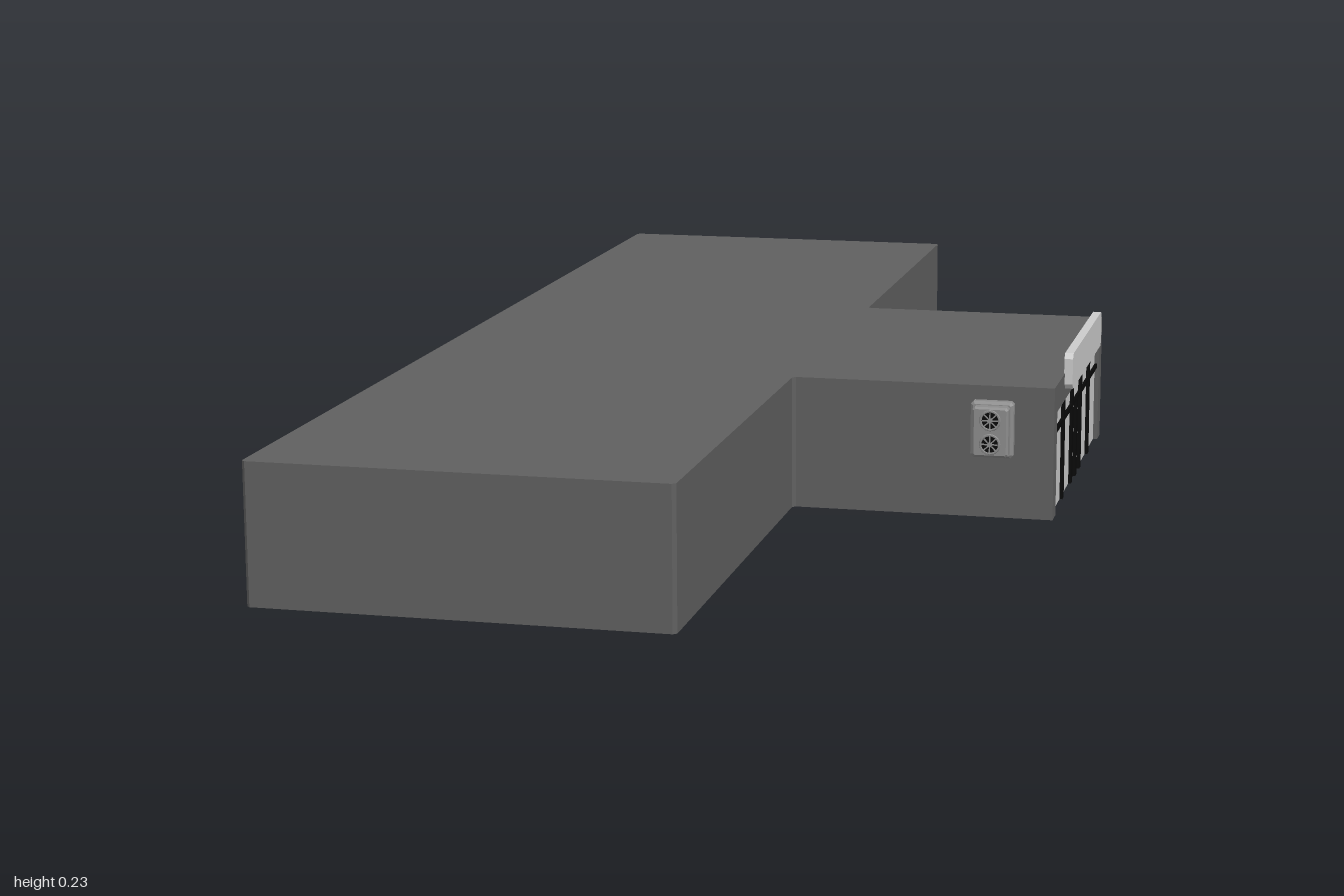
import * as THREE from 'three';

const mat = (color) => new THREE.MeshStandardMaterial({ color, flatShading: true });
const wall = mat(0x606060), light = mat(0xcccccc), black = mat(0x080808), metal = mat(0x8c8c8c);

const H = 0.2;        // wall height
const FRONT = 0.488;  // entrance face
const RECESS = 0.01;  // depth of the shop window

function add(parent, name, geometry, material, x = 0, y = 0, z = 0) {
  const mesh = new THREE.Mesh(geometry, material);
  mesh.name = name;
  mesh.position.set(x, y, z);
  parent.add(mesh);
  return mesh;
}

// Polygon with every corner cut by c
function cutShape(points, c) {
  const out = [];
  points.forEach((p, i) => {
    for (const q of [points.at(i - 1), points[(i + 1) % points.length]]) {
      const d = new THREE.Vector2(q[0] - p[0], q[1] - p[1]).setLength(c);
      out.push(new THREE.Vector2(p[0] + d.x, p[1] + d.y));
    }
  });
  return new THREE.Shape(out);
}

const rect = (w, h) => [[-w / 2, -h / 2], [w / 2, -h / 2], [w / 2, h / 2], [-w / 2, h / 2]];
const extrude = (shape, depth) => new THREE.ExtrudeGeometry(shape, { depth, bevelEnabled: false });

// Slab whose outer face is bevelled, growing along +z from 0
function bevelSlab(w, h, depth, bevel, corner) {
  const g = new THREE.ExtrudeGeometry(cutShape(rect(w - 2 * bevel, h - 2 * bevel), corner), {
    depth: depth - bevel, bevelThickness: bevel, bevelSize: bevel, bevelSegments: 1,
  });
  return g;
}

export function createModel() {
  const model = new THREE.Group();
  model.name = 'shopBuilding';

  // T-shaped hall, drawn in plan
  const x1 = FRONT - RECESS;
  const plan = [[-0.5, -1], [0.093, -1], [0.093, -0.298], [x1, -0.298],
    [x1, 0.298], [0.093, 0.298], [0.093, 1], [-0.5, 1]];
  add(model, 'hall', extrude(cutShape(plan, 0.005), H).rotateX(-Math.PI / 2), wall);

  // Entrance wall around the recessed window
  const portal = new THREE.Shape();
  [[-0.298, 0], [-0.265, 0], [-0.265, 0.158], [0.265, 0.158], [0.265, 0], [0.298, 0], [0.298, H], [-0.298, H]]
    .forEach(([a, b], i) => (i ? portal.lineTo(a, b) : portal.moveTo(a, b)));
  add(model, 'entranceWall', extrude(portal, RECESS + 0.005).rotateY(Math.PI / 2), wall, x1 - 0.005);

  // Shop window with its bars
  const front = new THREE.Group();
  front.name = 'shopFront';
  front.position.x = x1;
  model.add(front);
  add(front, 'glass', new THREE.BoxGeometry(0.004, 0.158, 0.53), light, 0.001, 0.079);
  add(front, 'crossBar', new THREE.BoxGeometry(0.006, 0.007, 0.53), black, 0.004, 0.124);
  for (const z of [-0.157, -0.053, 0, 0.053, 0.157]) {
    const h = z === 0 ? 0.124 : 0.158;
    add(front, 'mullion', new THREE.BoxGeometry(0.007, h, 0.015), black, 0.004, h / 2, z);
  }

  // Blank sign board above the entrance
  const board = extrude(cutShape(rect(0.37, 0.055), 0.008), 0.013);
  add(model, 'signBoard', board.rotateY(Math.PI / 2), light, 0.487, 0.203);

  // Wall-mounted cooling unit with two fans
  const unit = new THREE.Group();
  unit.name = 'coolingUnit';
  unit.position.set(0.397, 0.136, 0.297);
  model.add(unit);
  add(unit, 'casing', bevelSlab(0.064, 0.085, 0.016, 0.004, 0.002), metal);
  add(unit, 'fanHousing', bevelSlab(0.054, 0.075, 0.018, 0.003, 0.002), metal, 0, 0, 0.015);
  for (const y of [-0.018, 0.018]) {
    const fan = new THREE.Group();
    fan.name = 'fan';
    fan.position.set(0, y, 0.033);
    unit.add(fan);
    add(fan, 'fanDisc', new THREE.CircleGeometry(0.014, 20), black, 0, 0, 0.0005);
    add(fan, 'fanRing', new THREE.TorusGeometry(0.014, 0.002, 6, 20), metal);
    add(fan, 'fanHub', new THREE.CylinderGeometry(0.004, 0.004, 0.002, 10).rotateX(Math.PI / 2), metal, 0, 0, 0.001);
    for (let i = 0; i < 8; i++) {
      const blade = new THREE.BoxGeometry(0.008, 0.002, 0.001).translate(0.008, 0, 0);
      add(fan, 'fanBlade', blade.rotateZ((i * Math.PI) / 4), metal, 0, 0, 0.001);
    }
  }
  return model;
}
